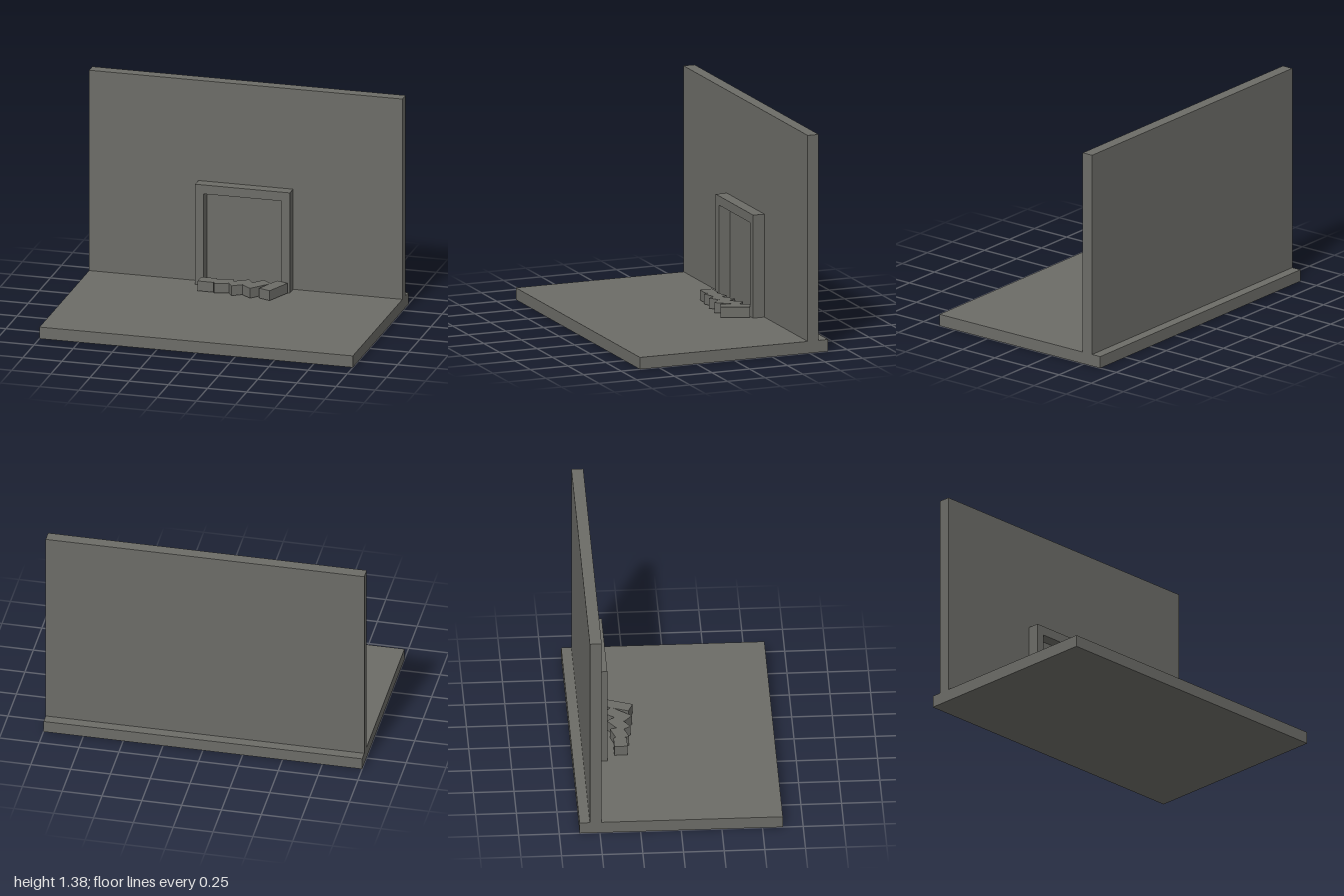
import * as THREE from 'three';

export function createModel() {
  const model = new THREE.Group();
  const grey = new THREE.MeshStandardMaterial({ color: 0x6c6c67 });
  grey.name = 'stone grey';

  const add = (name, geometry, x, y, z, turn = 0) => {
    const mesh = new THREE.Mesh(geometry, grey);
    mesh.name = name;
    mesh.position.set(x, y, z);
    mesh.rotation.y = turn;
    model.add(mesh);
  };

  // Floor slab and the wall standing on it
  add('floor', new THREE.BoxGeometry(2, 0.075, 1.25), 0, 0.0375, 0);
  add('wall', new THREE.BoxGeometry(2, 1.3, 0.073), 0, 0.725, -0.5255);

  // Doorway surround, open down to the floor
  const arch = new THREE.Shape([
    [-0.302, 0], [-0.249, 0], [-0.249, 0.592], [0.249, 0.592],
    [0.249, 0], [0.302, 0], [0.302, 0.65], [-0.302, 0.65],
  ].map(([x, y]) => new THREE.Vector2(x, y)));
  add('doorFrame', new THREE.ExtrudeGeometry(arch, { depth: 0.074, bevelEnabled: false }), 0, 0.075, -0.489);

  // Row of logs, each longer and turned further than the last
  for (let i = 0; i < 5; i++) {
    add('log' + (i + 1), new THREE.BoxGeometry(0.1 + 0.02 * i, 0.064, 0.081),
      -0.2 + 0.1055 * i, 0.112, -0.328, THREE.MathUtils.degToRad(17 * i));
  }
  return model;
}
